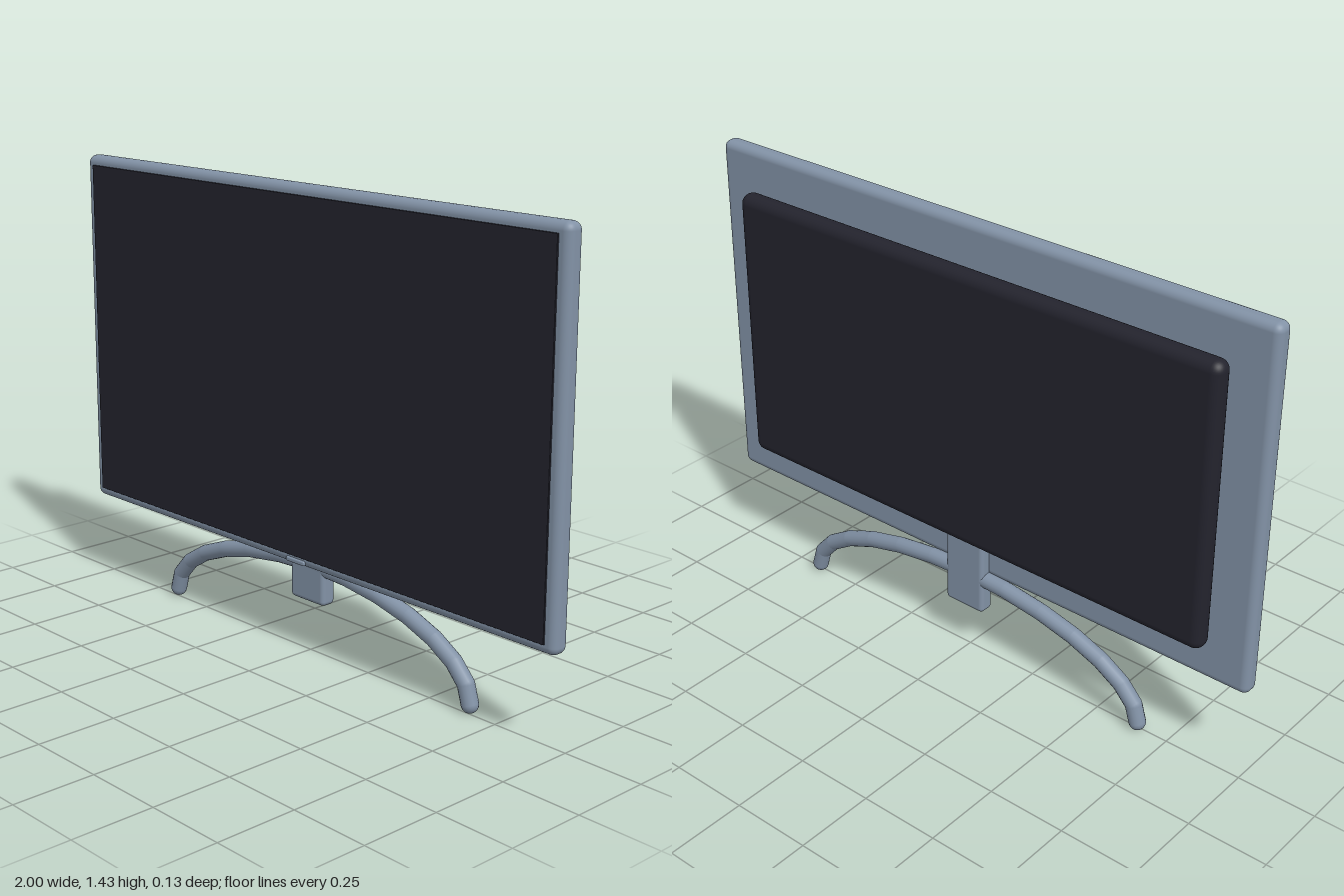
import * as THREE from 'three';
import { RoundedBoxGeometry } from 'three/addons/geometries/RoundedBoxGeometry.js';

export function createModel() {
  const model = new THREE.Group();
  model.name = 'monitor';

  const metal = new THREE.MeshStandardMaterial({ color: 0x8292a6 });
  metal.name = 'blue grey metal';
  const dark = new THREE.MeshStandardMaterial({ color: 0x23232d });
  dark.name = 'dark panel';

  // Rounded box given by its lower and upper corners
  function slab(name, material, lo, hi, radius) {
    const size = hi.map((v, i) => v - lo[i]);
    const mesh = new THREE.Mesh(new RoundedBoxGeometry(...size, 4, radius), material);
    mesh.position.set(...hi.map((v, i) => (v + lo[i]) / 2));
    mesh.name = name;
    model.add(mesh);
  }

  // Display body
  slab('frame', metal, [-1, 0.285, 0], [1, 1.43, 0.06], 0.024);
  slab('screen', dark, [-0.965, 0.315, 0.056], [0.965, 1.4, 0.065], 0.002);
  slab('backHousing', dark, [-0.875, 0.408, -0.065], [0.875, 1.305, 0.002], 0.032);
  slab('indicatorBar', metal, [-0.04, 0.293, 0.054], [0.04, 0.308, 0.067], 0.005);

  // Stand neck
  slab('neck', metal, [-0.073, 0.16, -0.033], [0.073, 0.41, 0.018], 0.014);

  // Arched stand made of rounded rods following half an ellipse
  const stand = new THREE.Group();
  stand.name = 'archedStand';
  const radius = 0.026, segments = 14;
  const up = new THREE.Vector3(0, 1, 0);
  const point = (i) => {
    const a = (i / segments) * Math.PI;
    return new THREE.Vector3(0.65 * Math.cos(a), radius + 0.25 * Math.sin(a), -0.007);
  };
  for (let i = 0; i < segments; i++) {
    const a = point(i), b = point(i + 1);
    const dir = b.clone().sub(a);
    const rod = new THREE.Mesh(new THREE.CapsuleGeometry(radius, dir.length(), 6, 16), metal);
    rod.position.copy(a).add(b).multiplyScalar(0.5);
    rod.quaternion.setFromUnitVectors(up, dir.normalize());
    rod.name = 'standRod' + (i + 1);
    stand.add(rod);
  }
  model.add(stand);

  return model;
}
